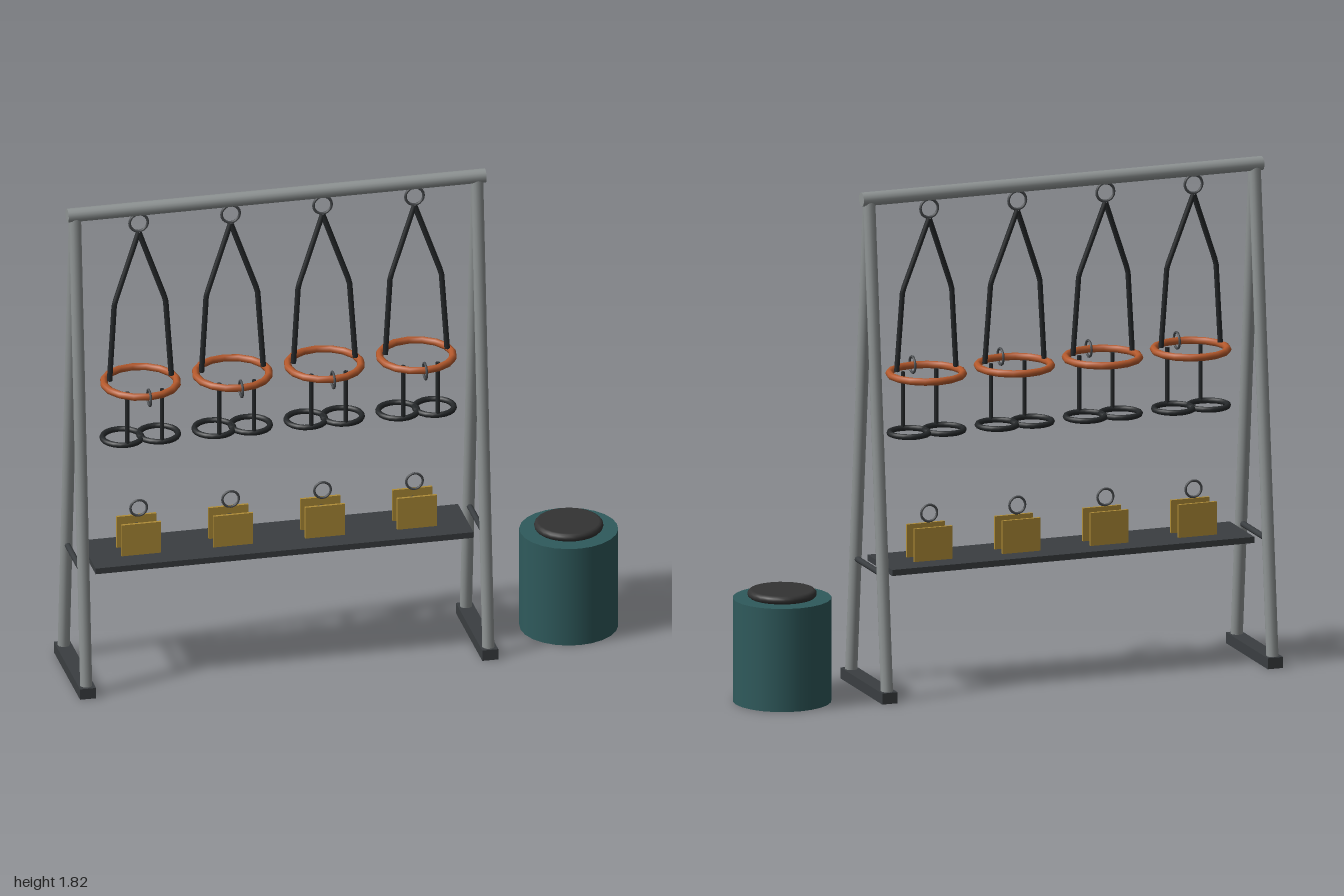
import * as THREE from 'three';

const mat = (color) => new THREE.MeshStandardMaterial({ color });
const steel = mat(0x8f9494), black = mat(0x25282a), wire = mat(0x4a4d50), deck = mat(0x3a3e41);
const orange = mat(0xb4592c), brass = mat(0xb08d38), teal = mat(0x2f5a5c), lidGrey = mat(0x333333);

function add(parent, name, geometry, material, x = 0, y = 0, z = 0) {
  const mesh = new THREE.Mesh(geometry, material);
  mesh.name = name;
  mesh.position.set(x, y, z);
  parent.add(mesh);
  return mesh;
}

// Straight round bar between two points
function bar(parent, name, a, b, radius, material, sides = 12) {
  const from = new THREE.Vector3(...a), to = new THREE.Vector3(...b);
  const dir = to.clone().sub(from);
  const mesh = add(parent, name, new THREE.CylinderGeometry(radius, radius, dir.length(), sides), material);
  mesh.position.copy(from).add(to).multiplyScalar(0.5);
  mesh.quaternion.setFromUnitVectors(new THREE.Vector3(0, 1, 0), dir.normalize());
  return mesh;
}

const ring = (radius, tube, segments = 20) => new THREE.TorusGeometry(radius, tube, 8, segments);

// A-frame stand with shelf
function createFrame() {
  const frame = new THREE.Group();
  frame.name = 'frame';
  bar(frame, 'topBeam', [-1, 1.79, 0], [0.515, 1.79, 0], 0.025, steel, 16);
  for (const x of [-0.972, 0.486]) {
    for (const s of [-1, 1]) bar(frame, 'leg', [x, 1.79, 0], [x, 0.02, s * 0.178], 0.022, steel);
    add(frame, 'foot', new THREE.BoxGeometry(0.058, 0.04, 0.414), deck, x, 0.02, 0);
    bar(frame, 'shelfCrossbar', [x, 0.453, -0.13], [x, 0.453, 0.13], 0.011, deck, 8);
  }
  add(frame, 'shelf', new THREE.BoxGeometry(1.37, 0.022, 0.244), deck, -0.24, 0.453, 0);
  return frame;
}

// Hanging harness: strap pair, waist hoop and two leg loops
function createHarness() {
  const harness = new THREE.Group();
  harness.name = 'harness';
  add(harness, 'hangingRing', ring(0.033, 0.005), wire, 0, 1.736, 0);
  for (const s of [-1, 1]) {
    const path = new THREE.CurvePath();
    const points = [[0, 1.7, 0], [s * 0.093, 1.437, 0.02], [s * 0.112, 1.145, 0.028]]
      .map((p) => new THREE.Vector3(...p));
    path.add(new THREE.LineCurve3(points[0], points[1]));
    path.add(new THREE.LineCurve3(points[1], points[2]));
    add(harness, 'shoulderStrap', new THREE.TubeGeometry(path, 24, 0.01, 8), black);
    bar(harness, 'legStrap', [s * 0.063, 1.125, 0.094], [s * 0.063, 0.92, 0.094], 0.008, black, 8);
    add(harness, 'legLoop', ring(0.07, 0.0105), black, s * 0.066, 0.92, 0.025).rotation.x = Math.PI / 2;
  }
  add(harness, 'waistHoop', ring(0.131, 0.0135, 16), orange, 0, 1.129, 0.028).rotation.x = Math.PI / 2;
  add(harness, 'frontClip', ring(0.029, 0.0045), wire, 0, 1.129, 0.165).rotation.y = Math.PI / 2;
  return harness;
}

// Pulley: two brass cheeks, a wheel and a ring
function createPulley() {
  const pulley = new THREE.Group();
  pulley.name = 'pulley';
  for (const s of [-1, 1]) {
    add(pulley, 'cheekPlate', new THREE.BoxGeometry(0.144, 0.12, 0.01), brass, 0, 0.524, s * 0.037);
  }
  add(pulley, 'wheel', new THREE.CylinderGeometry(0.031, 0.031, 0.064, 16), deck, 0, 0.525, 0).rotation.x = Math.PI / 2;
  add(pulley, 'pulleyRing', ring(0.03, 0.0045), wire, 0, 0.627, 0);
  return pulley;
}

// Drum with a rounded lid
function createBarrel() {
  const barrel = new THREE.Group();
  barrel.name = 'barrel';
  add(barrel, 'drum', new THREE.CylinderGeometry(0.175, 0.175, 0.375, 24), teal, 0, 0.1875, 0);
  const profile = [new THREE.Vector2(0, 0)];
  for (let i = 0; i <= 6; i++) {
    const a = -Math.PI / 2 + (i / 6) * Math.PI;
    profile.push(new THREE.Vector2(0.108 + 0.015 * Math.cos(a), 0.015 + 0.015 * Math.sin(a)));
  }
  profile.push(new THREE.Vector2(0, 0.03));
  add(barrel, 'lid', new THREE.LatheGeometry(profile, 24), lidGrey, 0, 0.375, 0);
  return barrel;
}

export function createModel() {
  const model = new THREE.Group();
  model.name = 'harnessRack';
  model.add(createFrame());
  for (let i = 0; i < 4; i++) {
    for (const part of [createHarness(), createPulley()]) {
      part.position.x = -0.741 + i * 0.3333;
      model.add(part);
    }
  }
  const barrel = createBarrel();
  barrel.position.set(0.823, 0, -0.021);
  model.add(barrel);
  return model;
}
